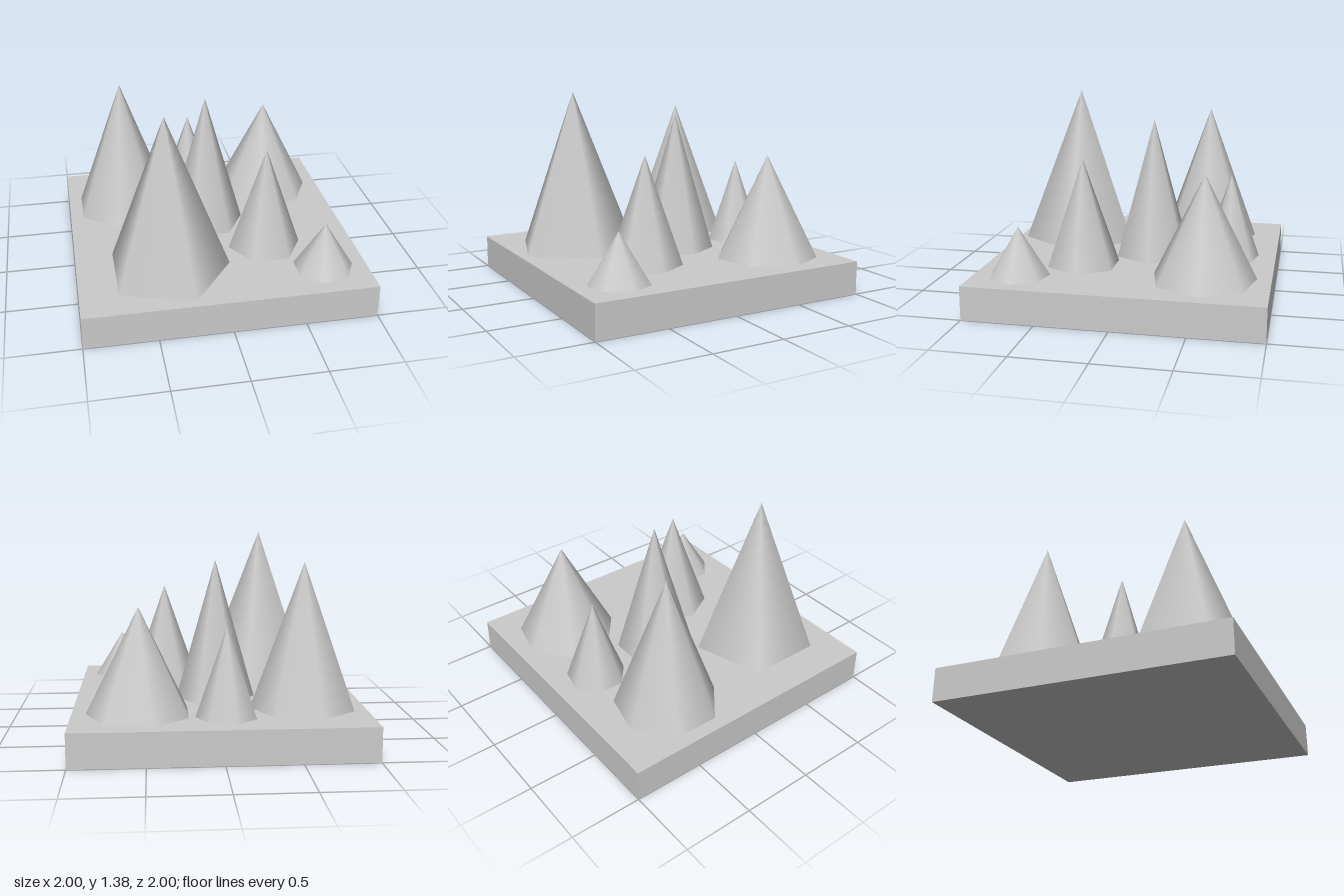
import * as THREE from 'three';

const BASE_HEIGHT = 0.235;

// x, z, radius, tip height, number of sides
const CONES = [
  [-0.575, -0.45, 0.366, 1.235, 7],
  [-0.035, -0.67, 0.21, 0.84, 7],
  [0.545, -0.55, 0.36, 0.955, 7],
  [0.005, -0.113, 0.28, 1.222, 6],
  [0.36, 0.325, 0.26, 0.99, 6],
  [-0.377, 0.523, 0.442, 1.38, 5],
  [0.695, 0.69, 0.21, 0.575, 7],
];

export function createModel() {
  const group = new THREE.Group();
  const material = new THREE.MeshStandardMaterial({ color: 0xcccccc });

  // Square slab
  const base = new THREE.Mesh(new THREE.BoxGeometry(2, BASE_HEIGHT, 2), material);
  base.name = 'base';
  base.position.y = BASE_HEIGHT / 2;
  group.add(base);

  // Smooth-shaded cones standing on the slab, each with one corner towards +x
  CONES.forEach(([x, z, radius, top, sides], i) => {
    const height = top - BASE_HEIGHT;
    const cone = new THREE.Mesh(new THREE.ConeGeometry(radius, height, sides, 12), material);
    cone.name = `cone${i + 1}`;
    cone.position.set(x, BASE_HEIGHT + height / 2, z);
    cone.rotation.y = Math.PI / 2;
    group.add(cone);
  });

  return group;
}
